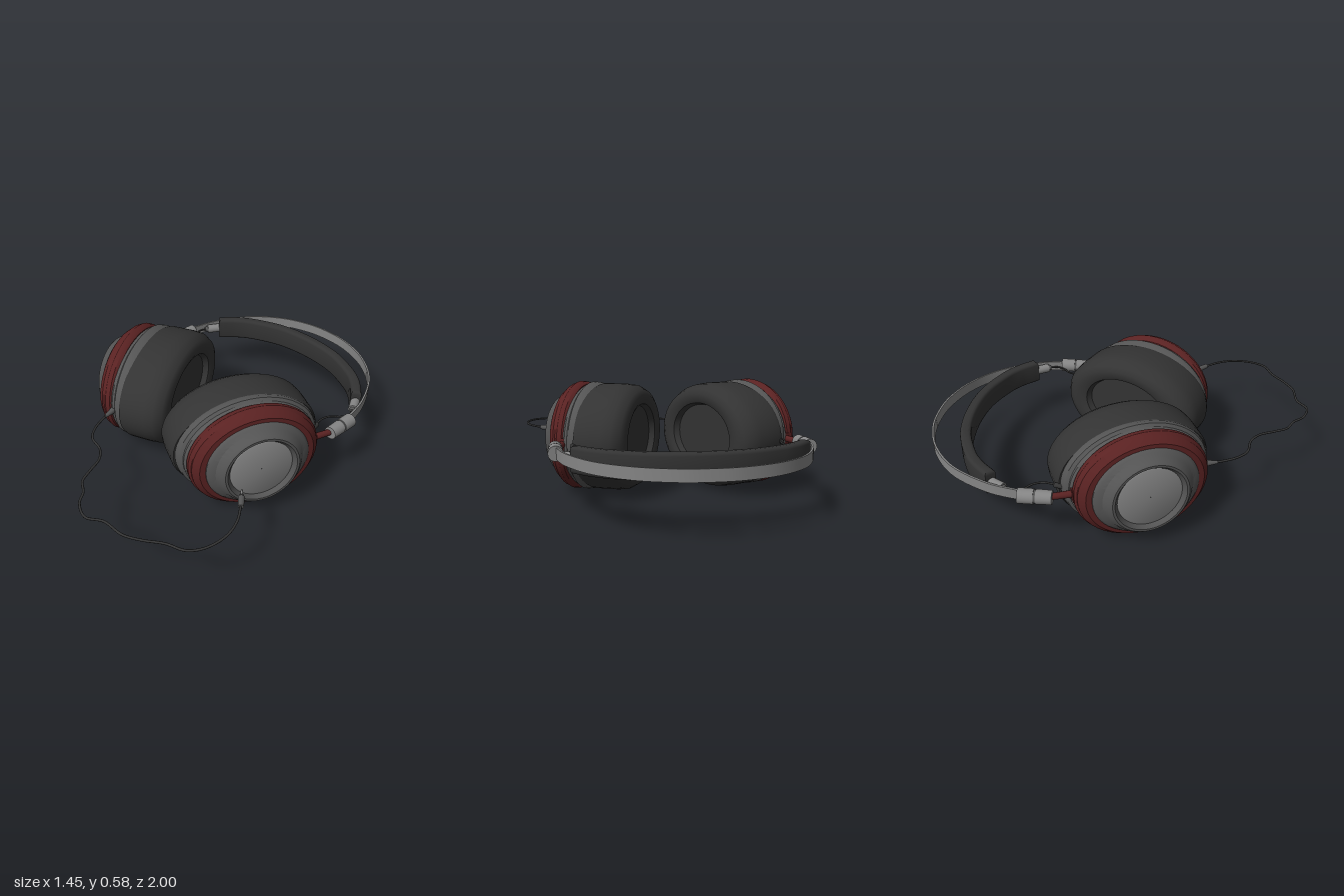
import * as THREE from 'three';
import { toCreasedNormals } from 'three/addons/utils/BufferGeometryUtils.js';

const MID_X = -0.065, MID_Y = 0.29;
const mat = (color) => new THREE.MeshStandardMaterial({ color });
const dark = mat(0x333333), grey = mat(0x555555), red = mat(0x5a2222), metal = mat(0x858585);

function add(parent, name, geometry, material) {
  const mesh = new THREE.Mesh(geometry, material);
  mesh.name = name;
  parent.add(mesh);
  return mesh;
}

// Elliptical rings [x, half width in z, half height in y] joined along x
function loft(rings, n = 48) {
  const pos = [], idx = [];
  for (const [x, rz, ry] of rings)
    for (let i = 0; i < n; i++) {
      const t = (i / n) * Math.PI * 2;
      pos.push(x, ry * Math.cos(t), rz * Math.sin(t));
    }
  for (let j = 0; j < rings.length - 1; j++)
    for (let i = 0; i < n; i++) {
      const a = j * n + i, b = j * n + (i + 1) % n;
      idx.push(a, b, a + n, b, b + n, a + n);
    }
  const g = new THREE.BufferGeometry();
  g.setAttribute('position', new THREE.Float32BufferAttribute(pos, 3));
  g.setIndex(idx);
  return toCreasedNormals(g, 0.6);
}

// Tapered round rod between two [x, z] points at y = 0
function rod(parent, name, a, b, ra, rb, material, sides = 24) {
  const from = new THREE.Vector3(a[0], 0, a[1]), to = new THREE.Vector3(b[0], 0, b[1]);
  const dir = to.clone().sub(from);
  const mesh = add(parent, name, new THREE.CylinderGeometry(rb, ra, dir.length(), sides), material);
  mesh.position.copy(from).add(to).multiplyScalar(0.5);
  mesh.quaternion.setFromUnitVectors(new THREE.Vector3(0, 1, 0), dir.normalize());
  return mesh;
}

function wire(points, radius, segments) {
  const path = new THREE.CatmullRomCurve3(points.map(([x, z]) => new THREE.Vector3(x, 0, z)));
  return new THREE.TubeGeometry(path, segments, radius, 8);
}

// Symmetric curved strip in the xz plane; half = points from the middle to the +x end
function strip(half, thickness, height, bevel) {
  const right = half.map(([x, z]) => new THREE.Vector2(x, -z));
  const left = right.slice(1).reverse().map((p) => new THREE.Vector2(-p.x, p.y));
  const curve = new THREE.SplineCurve([...left, ...right]);
  const outer = [], inner = [], n = 64, w = thickness / 2 - bevel;
  for (let i = 0; i <= n; i++) {
    const p = curve.getPoint(i / n), t = curve.getTangent(i / n);
    outer.push(new THREE.Vector2(p.x - t.y * w, p.y + t.x * w));
    inner.unshift(new THREE.Vector2(p.x + t.y * w, p.y - t.x * w));
  }
  const depth = height - 2 * bevel;
  const g = new THREE.ExtrudeGeometry(new THREE.Shape([...outer, ...inner]), {
    depth, bevelEnabled: bevel > 0, bevelSize: bevel, bevelThickness: bevel, bevelSegments: 3,
  });
  g.translate(0, 0, -depth / 2).rotateX(-Math.PI / 2);
  return toCreasedNormals(g, 0.6);
}

function earCup() {
  const cup = new THREE.Group();
  cup.name = 'earCup';
  // Soft cushion with a shallow hollow for the ear
  add(cup, 'cushion', loft([
    [0.115, 0.001, 0.001], [0.115, 0.235, 0.165], [0.085, 0.25, 0.175], [0.075, 0.275, 0.195],
    [0.075, 0.325, 0.225], [0.09, 0.36, 0.25], [0.13, 0.388, 0.274], [0.18, 0.392, 0.28],
    [0.3, 0.39, 0.28], [0.325, 0.38, 0.272], [0.325, 0.3, 0.22],
  ]), dark);
  // Stepped shell behind the cushion
  add(cup, 'shell', loft([
    [0.3, 0.3, 0.22], [0.305, 0.372, 0.272], [0.335, 0.372, 0.285], [0.36, 0.362, 0.288],
    [0.372, 0.345, 0.275], [0.385, 0.345, 0.272], [0.4, 0.33, 0.265], [0.4, 0.25, 0.22],
  ]), grey);
  // Coloured ring with a raised middle
  add(cup, 'trimRing', loft([
    [0.385, 0.27, 0.22], [0.39, 0.325, 0.275], [0.405, 0.337, 0.287], [0.43, 0.337, 0.29],
    [0.445, 0.326, 0.282], [0.455, 0.326, 0.28], [0.485, 0.295, 0.255], [0.49, 0.24, 0.215],
  ]), red);
  // Domed outer cover with a recessed plate
  add(cup, 'outerCover', loft([
    [0.47, 0.27, 0.24], [0.492, 0.265, 0.235], [0.505, 0.25, 0.228], [0.515, 0.225, 0.215],
    [0.545, 0.205, 0.202], [0.557, 0.19, 0.19], [0.557, 0.178, 0.178], [0.54, 0.162, 0.164],
    [0.525, 0.158, 0.16],
  ]), grey);
  add(cup, 'coverPlate', loft([
    [0.52, 0.161, 0.163], [0.535, 0.161, 0.163], [0.54, 0.152, 0.154], [0.54, 0.001, 0.001],
  ]), metal);
  // Offset of every ring from the hinge frame
  for (const part of cup.children) part.position.z = -0.04;
  cup.position.x = -MID_X;
  cup.rotation.y = -0.427;
  return cup;
}

function side() {
  const group = new THREE.Group();
  group.add(earCup());
  // Arm and lug joining the ring to the slider
  rod(group, 'arm', [0.617, -0.28], [0.575, -0.15], 0.016, 0.018, red, 12);
  const lug = add(group, 'armLug', new THREE.BoxGeometry(0.05, 0.06, 0.07), red);
  lug.position.set(0.578, 0, -0.145);
  lug.rotation.y = -0.427;
  // Two-piece slider
  rod(group, 'sliderUpper', [0.62, -0.425], [0.62, -0.348], 0.037, 0.037, metal);
  rod(group, 'sliderGap', [0.62, -0.35], [0.62, -0.335], 0.033, 0.033, grey);
  rod(group, 'sliderLower', [0.62, -0.338], [0.62, -0.262], 0.036, 0.034, metal);
  // Strap end fitting and its thin lead
  rod(group, 'strapFitting', [0.525, -0.59], [0.573, -0.505], 0.025, 0.025, metal);
  rod(group, 'fittingTip', [0.573, -0.505], [0.58, -0.49], 0.018, 0.012, grey);
  add(group, 'lead', wire([[0.578, -0.5], [0.588, -0.45], [0.57, -0.41], [0.53, -0.37],
    [0.515, -0.32], [0.53, -0.24]], 0.005, 32), dark);
  // Lead socket on the shell
  rod(group, 'leadSocket', [0.527, -0.27], [0.535, -0.2], 0.012, 0.018, dark, 12);
  return group;
}

export function createModel() {
  const model = new THREE.Group();
  model.name = 'headphones';
  const frame = new THREE.Group();
  frame.name = 'frame';
  frame.position.set(MID_X, MID_Y, 0);
  model.add(frame);

  // Each side is symmetric in y, so a half turn mirrors it
  for (const name of ['leftSide', 'rightSide']) {
    const s = side();
    s.name = name;
    if (name === 'rightSide') s.rotation.z = Math.PI;
    frame.add(s);
  }

  // Thin outer band and padded inner strap
  add(frame, 'outerBand', strip([[0, -0.994], [0.15, -0.977], [0.317, -0.908], [0.47, -0.775],
    [0.575, -0.58], [0.615, -0.41]], 0.01, 0.056, 0), metal);
  add(frame, 'paddedStrap', strip([[0, -0.808], [0.2, -0.786], [0.37, -0.717], [0.46, -0.655],
    [0.528, -0.582]], 0.056, 0.125, 0.016), dark);

  // Cable with strain relief and plug
  const cable = new THREE.Group();
  cable.name = 'cable';
  cable.position.y = MID_Y;
  model.add(cable);
  add(cable, 'cord', wire([[-0.352, 0.44], [-0.33, 0.515], [-0.29, 0.595], [-0.235, 0.648],
    [-0.14, 0.67], [-0.08, 0.717], [-0.04, 0.8], [-0.005, 0.865], [0.06, 0.905], [0.11, 0.96],
    [0.2, 0.99], [0.275, 0.945], [0.395, 0.933], [0.475, 0.892], [0.56, 0.83], [0.65, 0.79],
    [0.695, 0.72], [0.706, 0.61], [0.675, 0.515], [0.61, 0.425]], 0.006, 200), dark);
  rod(cable, 'strainRelief', [-0.358, 0.42], [-0.338, 0.495], 0.019, 0.008, grey, 12);
  rod(cable, 'plugBody', [0.623, 0.44], [0.58, 0.395], 0.013, 0.016, grey, 16);
  rod(cable, 'plugCollar', [0.58, 0.395], [0.572, 0.386], 0.011, 0.011, dark, 16);
  rod(cable, 'plugPin', [0.572, 0.386], [0.545, 0.358], 0.008, 0.004, metal, 12);
  return model;
}
